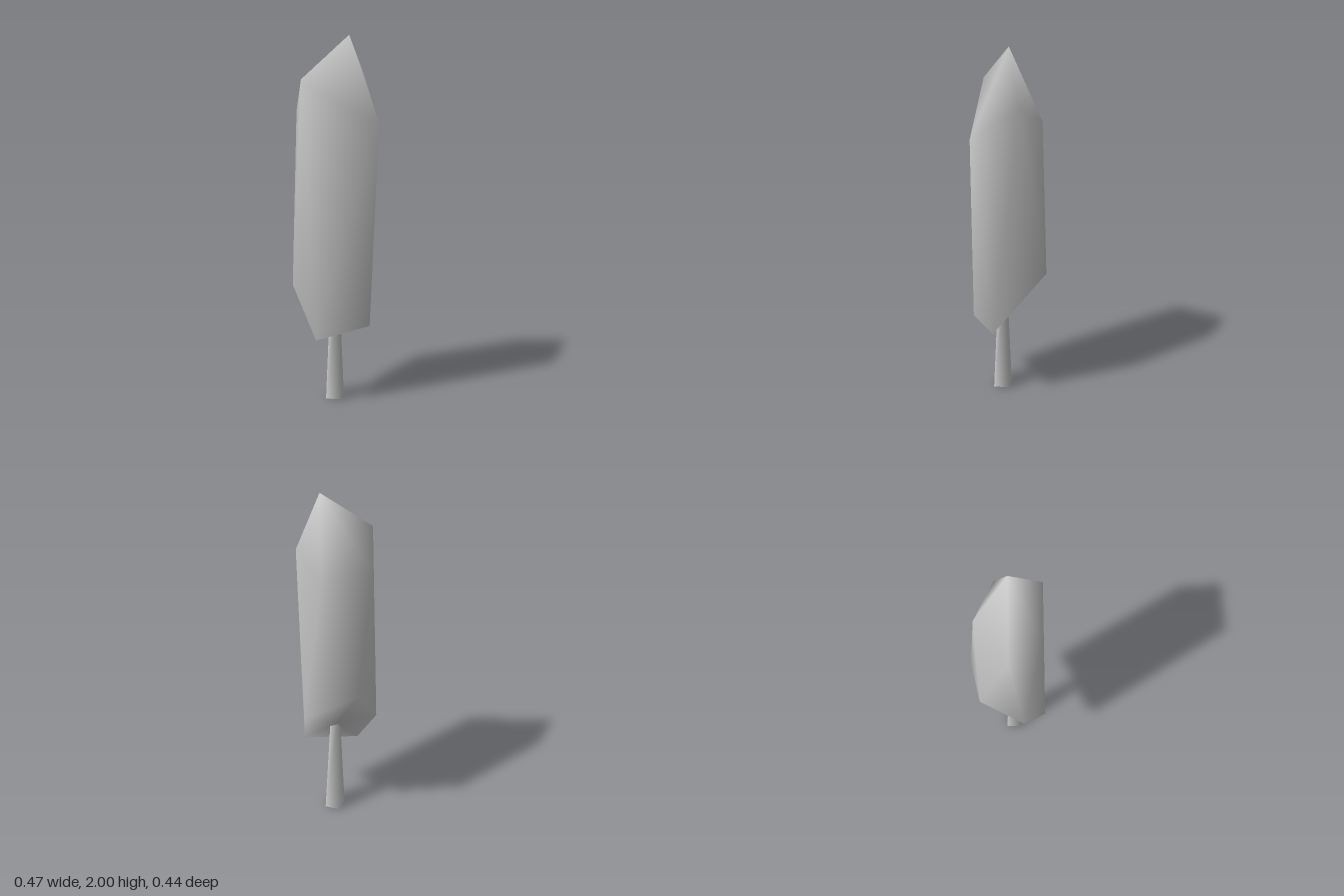
import * as THREE from 'three';

// Closed, smooth-shaded crown: tip, two staggered five-point rings, base point
function crownGeometry() {
  const tip = [0.06, 2.0, -0.01];
  const base = [-0.03, 0.62, 0.0];
  const upper = [
    [0.235, 1.56, 0.163], [-0.17, 1.78, 0.16], [-0.22, 1.6, 0.0],
    [0.0, 1.6, -0.178], [0.165, 1.71, -0.08],
  ];
  const lower = [
    [-0.09, 0.39, 0.218], [-0.235, 0.66, 0.09], [-0.195, 0.93, -0.155],
    [0.085, 0.77, -0.22], [0.185, 0.43, 0.06],
  ];
  const n = upper.length;
  const U = (i) => 1 + (i % n);
  const L = (i) => 1 + n + (i % n);
  const last = 1 + 2 * n;
  const index = [];
  for (let i = 0; i < n; i++) {
    index.push(0, U(i + 1), U(i)); // tip fan
    index.push(U(i), U(i + 1), L(i)); // side band
    index.push(L(i), U(i + 1), L(i + 1));
    index.push(last, L(i), L(i + 1)); // underside fan
  }
  const geometry = new THREE.BufferGeometry();
  const points = [tip, ...upper, ...lower, base].flat();
  geometry.setAttribute('position', new THREE.Float32BufferAttribute(points, 3));
  geometry.setIndex(index);
  geometry.computeVertexNormals();
  return geometry;
}

export function createModel() {
  const group = new THREE.Group();
  group.name = 'tree';

  const crown = new THREE.Mesh(crownGeometry(), new THREE.MeshStandardMaterial({ color: 0xcccccc }));
  crown.name = 'crown';
  group.add(crown);

  // Square, tapered trunk, open at both ends, reaching into the crown
  const height = 0.64;
  const trunkGeometry = new THREE.CylinderGeometry(0.021 * Math.SQRT2, 0.045 * Math.SQRT2, height, 4, 1, true);
  trunkGeometry.rotateY(Math.PI / 4);
  const trunk = new THREE.Mesh(
    trunkGeometry,
    new THREE.MeshStandardMaterial({ color: 0xcccccc, side: THREE.DoubleSide })
  );
  trunk.name = 'trunk';
  trunk.position.set(-0.01, height / 2, 0.035);
  group.add(trunk);

  return group;
}
